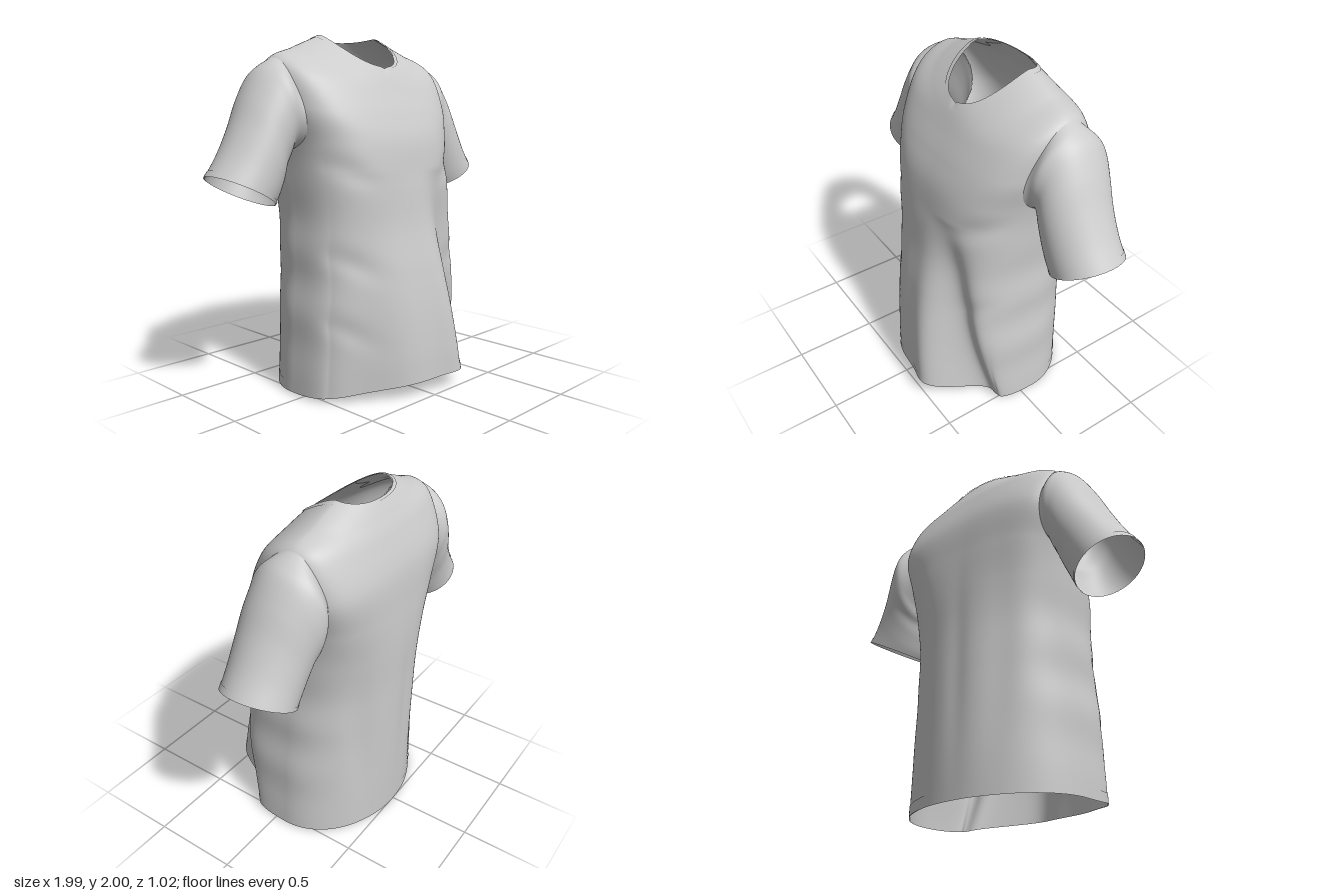
import * as THREE from 'three';

const cloth = new THREE.MeshStandardMaterial({ color: 0xcccccc, side: THREE.DoubleSide });
const bump = (d, s) => Math.exp(-(d / s) * (d / s));
const power = (a, e) => Math.sign(a) * Math.pow(Math.abs(a), e);

// Smooth interpolation through rows of numbers, v from 0 to 1
function spline(rows, v) {
  const n = rows.length - 1, i = Math.min(Math.floor(v * n), n - 1), t = v * n - i;
  const row = k => rows[Math.max(0, Math.min(n, k))];
  return row(i).map((p1, c) => {
    const p0 = row(i - 1)[c], p2 = row(i + 1)[c], p3 = row(i + 2)[c];
    return 0.5 * (2 * p1 + (p2 - p0) * t + (2 * p0 - 5 * p1 + 4 * p2 - p3) * t * t
      + (3 * p1 - p0 - 3 * p2 + p3) * t * t * t);
  });
}

// Torso loops: half width, side y, side z, front y, front z, back y, back z, roundness front and back
const torsoRows = [
  [0.55, 0.01, -0.08, 0.09, 0.485, 0.00, -0.50, 0.70, 1.00],
  [0.54, 0.22, -0.08, 0.26, 0.475, 0.22, -0.505, 0.70, 1.00],
  [0.53, 0.45, -0.08, 0.48, 0.45, 0.45, -0.508, 0.69, 1.00],
  [0.512, 0.70, -0.09, 0.71, 0.41, 0.70, -0.51, 0.68, 0.98],
  [0.502, 0.95, -0.10, 0.95, 0.36, 0.95, -0.51, 0.67, 0.95],
  [0.508, 1.18, -0.13, 1.18, 0.332, 1.18, -0.51, 0.66, 0.86],
  [0.53, 1.40, -0.16, 1.40, 0.30, 1.40, -0.50, 0.67, 0.68],
  [0.575, 1.62, -0.18, 1.55, 0.245, 1.62, -0.48, 0.68, 0.56],
  [0.57, 1.85, -0.19, 1.68, 0.18, 1.80, -0.42, 0.80, 0.74],
  [0.40, 1.93, -0.20, 1.765, 0.135, 1.90, -0.37, 0.86, 0.84],
  [0.22, 2.00, -0.20, 1.82, 0.10, 1.975, -0.325, 0.90, 0.88],
];

function torsoPoint(u, v) {
  const [w, ys, zs, yf, zf, yb, zb, ef, eb] = spline(torsoRows, v);
  const a = u * Math.PI * 2, c = Math.cos(a), s = Math.sin(a), front = s > 0;
  const e = front ? ef : eb, k = Math.pow(Math.abs(s), 1.2);
  let x = w * power(c, e);
  let y = ys + ((front ? yf : yb) - ys) * k;
  let z = zs + (front ? zf - zs : zs - zb) * power(s, e);
  const low = Math.max(0, 1 - y / 1.25), mid = bump(y - 0.7, 0.5);
  if (front) {
    // Draped front with one long diagonal fold towards the hem
    const f = x + 0.17 * y, open = Math.min(1, k * 2.5);
    const drape = open * low * (-0.13 * bump(x + 0.38, 0.2) + 0.04 * bump(f - 0.23, 0.1) - 0.22 * bump(f - 0.43, 0.1));
    z += drape;
    y += 0.2 * drape * low;
    // Creases below the arms and at the waist
    for (const [cx, cy, slope, depth] of [[0.4, 1.27, 0.4, 0.018], [-0.42, 1.27, -0.4, 0.016],
      [-0.42, 0.78, -0.5, 0.016], [-0.46, 0.42, -0.6, 0.014], [0.45, 0.75, 0.5, 0.01]])
      z -= open * depth * bump(x - cx, 0.13) * bump(y - cy - slope * (x - cx), 0.07);
    y -= 0.01 * bump(x, 0.02) * Math.max(0, v * 12 - 11);
  } else {
    // Soft vertical folds down the back
    z += k * mid * (0.02 * bump(x - 0.27 - 0.05 * y, 0.08) + 0.02 * bump(x + 0.27 + 0.05 * y, 0.08)
      + 0.01 * bump(x + 0.06, 0.06));
  }
  // Ripples along the side seams
  x += Math.sign(c) * 0.005 * Math.pow(Math.abs(c), 4) * mid * Math.sin(y * 17 + (c > 0 ? 1 : 0));
  return new THREE.Vector3(x, y, z);
}

// Armhole: an oval drawn on the torso surface, in its own u and v
const armhole = { v: 0.70, high: 0.11, front: 0.064, back: 0.078 };
const inArmhole = (u, v) => {
  const d = u < 0.25 ? u : u > 0.75 ? u - 1 : 0.5 - u;
  return Math.hypot(d / (d > 0 ? armhole.front : armhole.back), (v - armhole.v) / armhole.high) < 0.96;
};

// Sleeve loops outside the armhole: top x, top y, bottom x, bottom y, middle z, half depth
const sleeveRows = [
  [0.625, 1.828, 0.54, 1.33, -0.185, 0.226],
  [0.685, 1.775, 0.555, 1.28, -0.187, 0.224],
  [0.757, 1.66, 0.577, 1.225, -0.177, 0.218],
  [0.83, 1.515, 0.60, 1.165, -0.165, 0.208],
  [0.915, 1.365, 0.625, 1.105, -0.16, 0.202],
  [0.995, 1.25, 0.645, 1.07, -0.16, 0.20],
];

const sleevePoint = side => (u, v) => {
  const a = u * Math.PI * 2, c = Math.cos(a), s = Math.sin(a);
  // Shallow wrinkle near the underarm
  const r = 1 - 0.018 * bump(v - 0.42 - 0.1 * s, 0.1) * (1 - c);
  const reach = side * s < 0 ? armhole.front : armhole.back;
  const root = torsoPoint((side > 0 ? 0 : 0.5) - s * reach, armhole.v + armhole.high * c);
  const loops = sleeveRows.map(([tx, ty, bx, by, zc, d]) => [
    side * ((tx + bx) / 2 + r * c * (tx - bx) / 2),
    (ty + by) / 2 + r * c * (ty - by) / 2,
    zc - side * s * d * r]);
  return new THREE.Vector3(...spline([root.toArray(), ...loops], v));
};

// Closed loops joined into a sheet; skip() leaves openings, lift raises it off the surface
function sheet(name, point, cols, rows, { v0 = 0, v1 = 1, lift = 0, skip = null } = {}) {
  const pos = [], index = [], h = 0.002, vAt = j => v0 + (v1 - v0) * j / rows;
  for (let j = 0; j <= rows; j++) for (let i = 0; i < cols; i++) {
    const u = i / cols, v = vAt(j), p = point(u, v);
    if (lift) {
      const du = point(u + h, v).sub(point(u - h, v));
      const dv = point(u, Math.min(1, v + h)).sub(point(u, Math.max(0, v - h)));
      p.addScaledVector(dv.cross(du).normalize(), lift);
    }
    pos.push(p.x, p.y, p.z);
  }
  for (let j = 0; j < rows; j++) for (let i = 0; i < cols; i++) {
    if (skip && skip((i + 0.5) / cols, vAt(j + 0.5))) continue;
    const a = j * cols + i, b = a + cols, c = j * cols + (i + 1) % cols, d = c + cols;
    index.push(a, b, c, c, b, d);
  }
  const g = new THREE.BufferGeometry();
  g.setAttribute('position', new THREE.Float32BufferAttribute(pos, 3));
  g.setIndex(index);
  g.computeVertexNormals();
  const mesh = new THREE.Mesh(g, cloth);
  mesh.name = name;
  return mesh;
}

export function createModel() {
  const shirt = new THREE.Group();
  shirt.name = 'shirt';

  // Body with open armholes, neck and hem
  shirt.add(sheet('body', torsoPoint, 280, 160, { skip: inArmhole }));

  // Raised trims at the neck and hem
  shirt.add(sheet('neckBand', torsoPoint, 120, 4, { v0: 0.975, v1: 1, lift: 0.004 }));
  shirt.add(sheet('hemBand', torsoPoint, 200, 4, { v0: 0, v1: 0.035, lift: 0.003 }));

  // Sleeves and their cuffs, mirrored
  for (const [side, label] of [[1, 'left'], [-1, 'right']]) {
    shirt.add(sheet(label + 'Sleeve', sleevePoint(side), 80, 56));
    shirt.add(sheet(label + 'Cuff', sleevePoint(side), 80, 3, { v0: 0.94, v1: 1, lift: 0.003 }));
  }
  return shirt;
}
